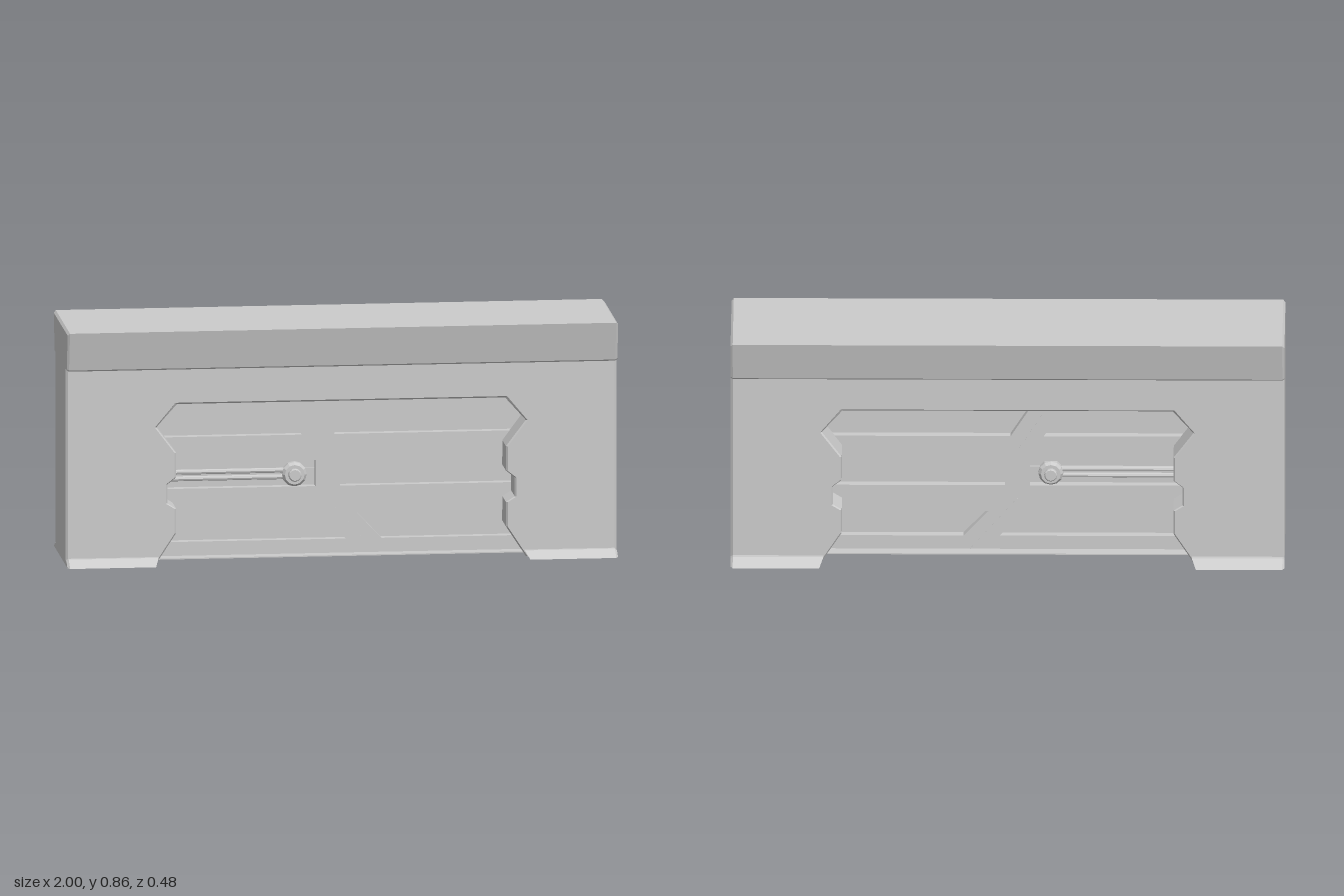
import * as THREE from 'three';

const MAT = new THREE.MeshStandardMaterial({ color: 0xcccccc, flatShading: true });
const THIN = new THREE.MeshStandardMaterial({ color: 0xcccccc, flatShading: true, side: THREE.DoubleSide });

const SKIN = 0.172;   // outer wall
const PLATE = 0.046;  // recessed panel
const FLOOR = 0.013;  // bottom of the slots

function add(parent, name, geo, mat = MAT) {
  const m = new THREE.Mesh(geo, mat);
  m.name = name;
  parent.add(m);
  return m;
}
const shapeOf = (pts) => new THREE.Shape(pts.map(([x, y]) => new THREE.Vector2(x, y)));
const mirrored = (pts) => [...pts, ...pts.map(([a, b]) => [-a, b]).reverse()];

// Extrude a shape towards +z between two depths
function slab(shape, z0, z1) {
  return new THREE.ExtrudeGeometry(shape, { depth: z1 - z0, bevelEnabled: false }).translate(0, 0, z0);
}
function box(parent, name, x0, x1, y0, y1, z0, z1) {
  return add(parent, name, new THREE.BoxGeometry(Math.abs(x1 - x0), y1 - y0, z1 - z0)
    .translate((x0 + x1) / 2, (y0 + y1) / 2, (z0 + z1) / 2));
}
// Faces joining two rows of 3D points with the same count
function loft(a, b) {
  const pos = [];
  for (let i = 0; i < a.length - 1; i++) {
    pos.push(...a[i], ...a[i + 1], ...b[i + 1], ...a[i], ...b[i + 1], ...b[i]);
  }
  const g = new THREE.BufferGeometry();
  g.setAttribute('position', new THREE.Float32BufferAttribute(pos, 3));
  g.computeVertexNormals();
  return g;
}

// Half of the end silhouette: outer outline and its inset
const CAP = [[0.198, 0.717], [0.203, 0.722], [0.235, 0.863]];
const END = [[0.24, 0], [0.19, 0.025], [SKIN, 0.025], [SKIN, 0.717], ...CAP];
const END_INSET = [[0.222, 0], [0.187, 0.018], [0.165, 0.018], [0.165, 0.722],
  [0.196, 0.722], [0.199, 0.726], [0.228, 0.855]];

// Half of the recess outline, from the bottom up, and its chamfered inner edge
const NOTCH = [[0.677, 0], [0.605, 0.11], [0.605, 0.2], [0.637, 0.22], [0.637, 0.29],
  [0.605, 0.315], [0.605, 0.405], [0.677, 0.5], [0.602, 0.59]];
const NOTCH_INNER = NOTCH.map(([x, y]) => [x - 0.006, y > 0.55 ? y - 0.006 : y]);

// Slots in the recessed panel
const SLOTS = [
  [[-0.72, 0.44], [-0.13, 0.44], [-0.19, 0.54], [-0.72, 0.54]],
  [[-0.01, 0.44], [0.72, 0.44], [0.72, 0.54], [-0.075, 0.54]],
  [[-0.72, 0.25], [-0.08, 0.25], [-0.08, 0.345], [-0.72, 0.345]],
  [[0.01, 0.25], [0.72, 0.25], [0.72, 0.345], [0.01, 0.345]],
  [[-0.72, 0.055], [0.03, 0.055], [-0.055, 0.15], [-0.72, 0.15]],
  [[0.16, 0.055], [0.72, 0.055], [0.72, 0.15], [0.07, 0.15]],
];

// One long side; m = -1 flips the pattern along x
function makeSide(m) {
  const side = new THREE.Group();
  const notch = mirrored(NOTCH), inner = mirrored(NOTCH_INNER);
  const atDepth = (pts, z) => pts.map(([x, y]) => [x, y, z]);

  const wall = shapeOf([...notch, [-0.992, 0], [-0.992, 0.725], [0.992, 0.725], [0.992, 0]]);
  add(side, 'outerWall', new THREE.ShapeGeometry(wall).translate(0, 0, SKIN), THIN);
  add(side, 'recessChamfer', loft(atDepth(notch, SKIN), atDepth(inner, SKIN - 0.007)), THIN);
  add(side, 'recessWall', loft(atDepth(inner, SKIN - 0.007), atDepth(inner, PLATE - 0.005)), THIN);

  const plate = shapeOf([[-0.78, 0], [0.78, 0], [0.78, 0.61], [-0.78, 0.61]]);
  for (const s of SLOTS) {
    plate.holes.push(new THREE.Path(s.map(([x, y]) => new THREE.Vector2(m * x, y))));
  }
  add(side, 'slottedPanel', slab(plate, FLOOR, PLATE));

  // Diagonal seams
  for (const [x0, y0, x1, y1] of [[-0.165, 0.585, -0.04, 0.39], [-0.035, 0.2, 0.135, 0.004]]) {
    const w = 0.002;
    add(side, 'seam', slab(shapeOf([[x0 - w, y0], [x1 - w, y1], [x1 + w, y1], [x0 + w, y0]]
      .map(([x, y]) => [m * x, y])), PLATE, PLATE + 0.001));
  }

  // Latch in the middle slot
  box(side, 'latchBar', m * -0.68, m * -0.08, 0.276, 0.314, FLOOR, FLOOR + 0.01);
  for (const y of [0.283, 0.307]) {
    const rod = new THREE.CylinderGeometry(0.009, 0.009, 0.5, 8).rotateZ(Math.PI / 2);
    add(side, 'latchRod', rod.translate(m * -0.43, y, FLOOR + 0.012));
  }
  const knob = new THREE.LatheGeometry([[0.045, 0], [0.045, 0.022], [0.036, 0.034], [0.024, 0.034],
    [0.024, 0.044], [0.02, 0.048], [0, 0.048]].map(([r, h]) => new THREE.Vector2(r, h)), 12);
  add(side, 'latchKnob', knob.rotateX(Math.PI / 2).translate(m * -0.155, 0.293, FLOOR));

  // Flared feet, with a slanted inner end
  for (const s of [-1, 1]) {
    const foot = END.slice(0, 3);
    add(side, 'footFlange', loft(foot.map(([z, y]) => [s * 0.992, y, z]),
      foot.map(([z, y]) => [s * (0.68 - 0.6 * y), y, z])), THIN);
  }
  return side;
}

// End panel with a chamfered rim, facing +x
function makeEnd() {
  const end = new THREE.Group();
  const outer = mirrored(END), inner = mirrored(END_INSET);
  const close = (pts, x) => [...pts, pts[0]].map(([z, y]) => [x, y, z]);
  add(end, 'endRim', loft(close(outer, 0.992), close(inner, 1)), THIN);
  add(end, 'endFace', new THREE.ShapeGeometry(shapeOf(inner)).rotateY(Math.PI / 2).translate(1, 0, 0), THIN);
  return end;
}

export function createModel() {
  const model = new THREE.Group();
  model.name = 'barrier';

  const cap = slab(shapeOf(mirrored([[0.16, 0.717], ...CAP])), -0.992, 0.992);
  add(model, 'cap', cap.rotateY(Math.PI / 2));
  box(model, 'core', -0.78, 0.78, 0, 0.61, -FLOOR, FLOOR);
  box(model, 'sill', -0.78, 0.78, 0, 0.004, -0.094, 0.094);

  const front = makeSide(1), back = makeSide(-1);
  front.name = 'frontSide';
  back.name = 'backSide';
  back.rotation.y = Math.PI;

  const left = makeEnd(), right = makeEnd();
  left.name = 'leftEnd';
  right.name = 'rightEnd';
  right.rotation.y = Math.PI;

  model.add(front, back, left, right);
  return model;
}
